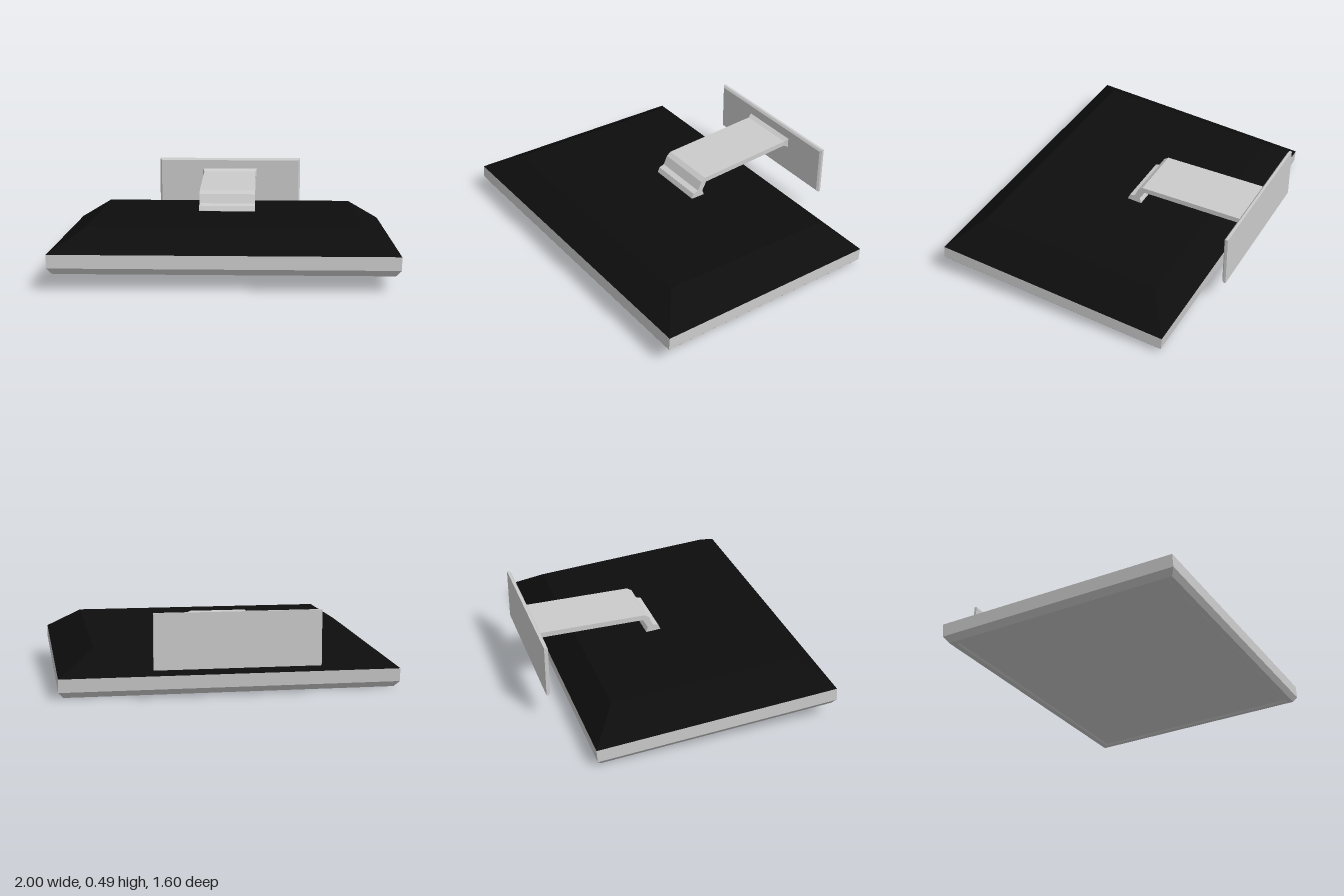
import * as THREE from 'three';

const grey = new THREE.MeshStandardMaterial({ color: 0xcccccc });
const black = new THREE.MeshStandardMaterial({ color: 0x0d0d0d });

// Rectangular rings [halfX, halfZ, y], joined from bottom to top
function loft(rings, capBottom = true, capTop = true) {
  const pos = [];
  const idx = [];
  for (const [hx, hz, y] of rings) {
    pos.push(hx, y, hz, hx, y, -hz, -hx, y, -hz, -hx, y, hz);
  }
  for (let r = 0; r < rings.length - 1; r++) {
    for (let i = 0; i < 4; i++) {
      const a = r * 4 + i;
      const b = r * 4 + (i + 1) % 4;
      idx.push(a, b, b + 4, a, b + 4, a + 4);
    }
  }
  const t = (rings.length - 1) * 4;
  if (capBottom) idx.push(0, 2, 1, 0, 3, 2);
  if (capTop) idx.push(t, t + 1, t + 2, t, t + 2, t + 3);
  const indexed = new THREE.BufferGeometry();
  indexed.setAttribute('position', new THREE.Float32BufferAttribute(pos, 3));
  indexed.setIndex(idx);
  const geometry = indexed.toNonIndexed();
  geometry.computeVertexNormals();
  return geometry;
}

function add(parent, name, geometry, material = grey) {
  const mesh = new THREE.Mesh(geometry, material);
  mesh.name = name;
  parent.add(mesh);
  return mesh;
}

export function createModel() {
  const model = new THREE.Group();
  model.name = 'wallMountedDisplay';

  // Display panel, tilted slightly and facing down
  const display = new THREE.Group();
  display.name = 'display';
  display.position.set(0, 0.162, 0.0725);
  display.rotation.x = -0.069;
  model.add(display);

  add(display, 'backShell', loft([[1, 0.724, 0], [0.79, 0.564, 0.136]], false), black);
  add(display, 'bezel', loft([
    [0.93, 0.66, -0.104],
    [0.94, 0.67, -0.114],
    [0.97, 0.70, -0.114],
    [1, 0.724, -0.078],
    [1, 0.724, 0],
  ], false, false));
  const screen = add(display, 'screen', new THREE.PlaneGeometry(1.86, 1.32).rotateX(Math.PI / 2));
  screen.position.y = -0.104;

  // Bent arm: side profile as [-z, y], extruded across the width
  const profile = [
    [0, 0.28], [0, 0.296], [0.013, 0.325], [0.047, 0.334], [0.072, 0.388], [0.10, 0.408],
    [0.75, 0.408], [0.75, 0.376], [0.11, 0.376], [0.08, 0.32], [0.09, 0.296], [0.09, 0.275],
  ].map(([x, y]) => new THREE.Vector2(x, y));
  const arm = new THREE.ExtrudeGeometry(new THREE.Shape(profile), { depth: 0.35, bevelEnabled: false });
  arm.translate(0, 0, -0.175).rotateY(Math.PI / 2);
  add(model, 'arm', arm);

  // Flared foot where the arm meets the plate
  const foot = add(model, 'armFoot',
    loft([[0.175, 0.016, 0.745], [0.185, 0.032, 0.773]]).rotateX(-Math.PI / 2));
  foot.position.y = 0.392;

  // Wall plate with chamfered front edge
  const plate = add(model, 'wallPlate',
    loft([[0.468, 0.148, 0.772], [0.48, 0.16, 0.782], [0.48, 0.16, 0.797]]).rotateX(-Math.PI / 2));
  plate.position.y = 0.333;

  return model;
}
